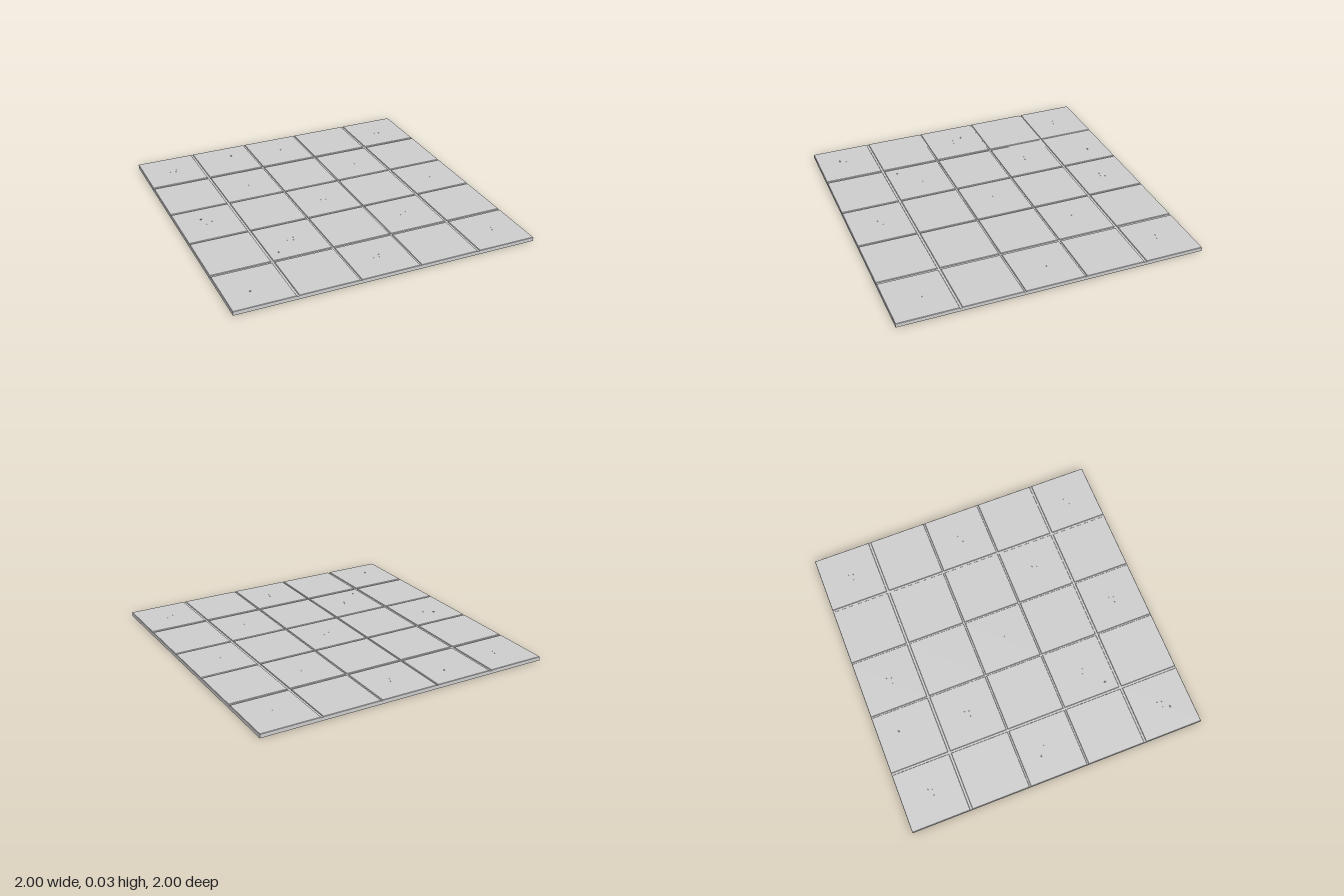
import * as THREE from 'three';

const material = new THREE.MeshStandardMaterial({ color: 0xcccccc, flatShading: true });
const COUNT = 5, PITCH = 2 / COUNT;
const BED = 0.021, TOP = 0.027;

// Box whose top edges are drawn in to form a small worn bevel
function tileGeometry(size, height, bevel) {
  const geometry = new THREE.BoxGeometry(size, height, size, 1, 2, 1);
  const p = geometry.attributes.position;
  for (let i = 0; i < p.count; i++) {
    if (p.getY(i) > height * 0.4) {
      p.setX(i, p.getX(i) - Math.sign(p.getX(i)) * bevel);
      p.setZ(i, p.getZ(i) - Math.sign(p.getZ(i)) * bevel);
    }
  }
  geometry.computeVertexNormals();
  return geometry;
}

export function createModel() {
  const model = new THREE.Group();
  model.name = 'tiledFloor';

  const add = (name, geometry, x, y, z, parent = model) => {
    const mesh = new THREE.Mesh(geometry, material);
    mesh.name = name;
    mesh.position.set(x, y, z);
    parent.add(mesh);
    return mesh;
  };

  // Solid bed, seen at the bottom of the joints
  add('bed', new THREE.BoxGeometry(2, BED, 2), 0, BED / 2, 0);

  // Grid of paving tiles, with fine surface chips on alternate tiles
  const tileHeight = TOP - BED;
  const tile = tileGeometry(PITCH - 0.01, tileHeight, 0.002);
  const chip = new THREE.CylinderGeometry(0.003, 0.004, 0.001, 5);
  const chipSpots = [[-0.025, 0.008], [0.012, 0.014], [0.02, -0.016]];
  const tiles = new THREE.Group();
  tiles.name = 'tiles';
  model.add(tiles);
  for (let i = 0; i < COUNT; i++) {
    for (let j = 0; j < COUNT; j++) {
      const x = (i - 2) * PITCH, z = (j - 2) * PITCH;
      // Outer tiles reach the rim of the bed
      const spread = (k) => (k - 2) * PITCH + (k === 0 ? -0.005 : k === COUNT - 1 ? 0.005 : 0);
      add('tile', tile, spread(i), BED + tileHeight / 2, spread(j), tiles);
      if ((i + j) % 2 === 0) {
        for (const [dx, dz] of chipSpots) add('chip', chip, x + dx, TOP + 0.0003, z + dz, tiles);
      }
    }
  }

  // Loose pebbles lying on the tiles
  const pebble = new THREE.IcosahedronGeometry(0.006, 0);
  const pebbles = [[-0.84, 0.85], [-0.53, 0.52], [-0.84, -0.06], [-0.35, -0.86]];
  pebbles.forEach(([x, z], n) => {
    const mesh = add('pebble', pebble, x, TOP + 0.003, z);
    mesh.scale.set(1.2, 0.6, 0.9);
    mesh.rotation.y = n * 1.3;
  });

  return model;
}
